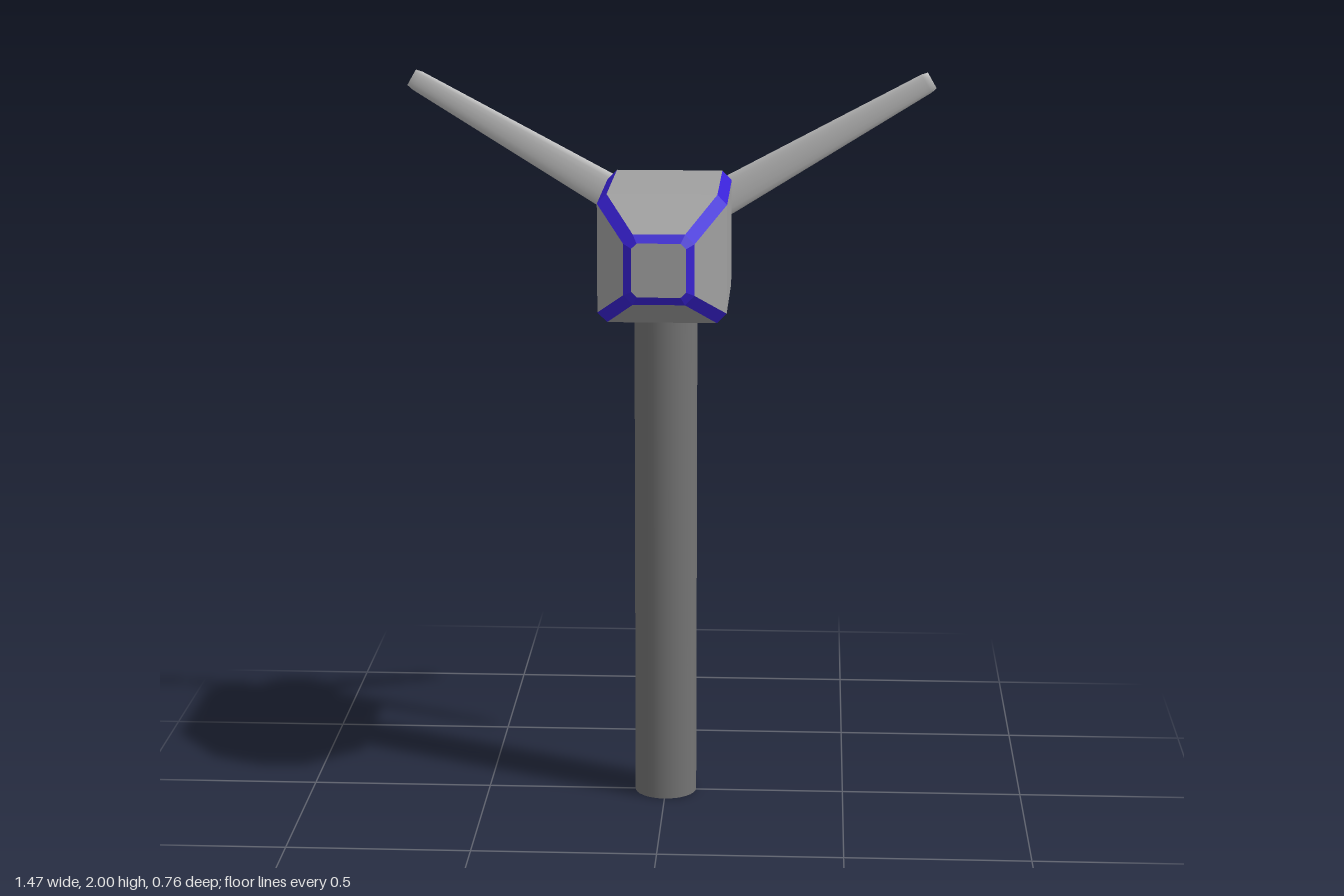
import * as THREE from 'three';

const HUB_Y = 1.563;

const mat = (name, color, side = THREE.FrontSide) => {
  const m = new THREE.MeshStandardMaterial({ color, side });
  m.name = name;
  return m;
};

function geometryFrom(positions) {
  const g = new THREE.BufferGeometry();
  g.setAttribute('position', new THREE.Float32BufferAttribute(positions, 3));
  g.computeVertexNormals();
  return g;
}

// Square section with cut corners, counter-clockwise seen from +z.
// Even edges are the flat sides, odd edges the cut corners.
function cutSquare([z, h, c]) {
  const k = h - c;
  return [[h, -k], [h, k], [k, h], [-k, h], [-h, k], [-h, -k], [-k, -h], [k, -h]].map(([x, y]) => [x, y, z]);
}

// Nacelle housing: panels and coloured edge trim as flat faces
function buildNacelle(panelMat, trimMat) {
  const sections = [
    [-0.228, 0.158, 0.022],
    [-0.212, 0.172, 0.026],
    [0.208, 0.172, 0.026],
    [0.366, 0.093, 0.025],
    [0.379, 0.071, 0.014],
  ].map(cutSquare);
  const panels = [], trim = [];
  for (let s = 0; s < sections.length - 1; s++) {
    for (let i = 0; i < 8; i++) {
      const j = (i + 1) % 8, a = sections[s], b = sections[s + 1];
      const coloured = s === 3 || (s > 0 && i % 2 === 1);
      (coloured ? trim : panels).push(...a[i], ...a[j], ...b[j], ...a[i], ...b[j], ...b[i]);
    }
  }
  const back = sections[0], front = sections[sections.length - 1];
  for (let i = 1; i < 7; i++) {
    panels.push(...front[0], ...front[i], ...front[i + 1]);
    panels.push(...back[0], ...back[i + 1], ...back[i]);
  }
  const group = new THREE.Group();
  group.name = 'nacelle';
  const shell = new THREE.Mesh(geometryFrom(panels), panelMat);
  shell.name = 'nacellePanels';
  const edges = new THREE.Mesh(geometryFrom(trim), trimMat);
  edges.name = 'nacelleTrim';
  group.add(shell, edges);
  return group;
}

// Tapered blade along +y, lens-shaped in section, closed at the tip
function bladeGeometry() {
  const N = 16;
  const sections = [ // distance from hub, half width, half thickness
    [0.03, 0.05, 0.011],
    [0.18, 0.051, 0.011],
    [0.5, 0.04, 0.01],
    [0.815, 0.029, 0.009],
    [0.833, 0.025, 0.004],
  ];
  const pos = [], index = [];
  for (const [y, w, t] of sections) {
    for (let i = 0; i < N; i++) {
      const a = (i / N) * Math.PI * 2;
      pos.push(w * Math.cos(a), y, t * Math.sin(a));
    }
  }
  for (let s = 0; s < sections.length - 1; s++) {
    for (let i = 0; i < N; i++) {
      const a = s * N + i, b = s * N + ((i + 1) % N);
      index.push(a, a + N, b, b, a + N, b + N);
    }
  }
  const last = (sections.length - 1) * N;
  for (let i = 1; i < N - 1; i++) index.push(last, last + i + 1, last + i);
  const g = new THREE.BufferGeometry();
  g.setAttribute('position', new THREE.Float32BufferAttribute(pos, 3));
  g.setIndex(index);
  g.computeVertexNormals();
  return g;
}

export function createModel() {
  const panelGrey = mat('panel grey', 0xa0a0a0);
  const towerGrey = mat('tower grey', 0x747474);
  const bladeGrey = mat('blade light grey', 0xc0c0c0, THREE.DoubleSide);
  const trimBlue = mat('trim blue', 0x3a22d8);

  const model = new THREE.Group();
  model.name = 'windTurbine';

  // Tower
  const tower = new THREE.Mesh(new THREE.CylinderGeometry(0.086, 0.086, 1.42, 32), towerGrey);
  tower.name = 'tower';
  tower.position.set(0, 0.71, -0.005);
  model.add(tower);

  // Nacelle
  const nacelle = buildNacelle(panelGrey, trimBlue);
  nacelle.position.y = HUB_Y;
  model.add(nacelle);

  // Rotor at the back: nose cone and three blades
  const rotor = new THREE.Group();
  rotor.name = 'rotor';
  rotor.position.y = HUB_Y;
  const profile = [[0.115, 0.222], [0.109, 0.255], [0.098, 0.29], [0.08, 0.327], [0.05, 0.36], [0, 0.38]]
    .map(([r, d]) => new THREE.Vector2(r, d));
  const hub = new THREE.Mesh(new THREE.LatheGeometry(profile, 24), panelGrey);
  hub.name = 'hub';
  hub.rotation.x = -Math.PI / 2;
  rotor.add(hub);
  const bladeGeo = bladeGeometry();
  for (let i = 0; i < 3; i++) {
    const blade = new THREE.Mesh(bladeGeo, bladeGrey);
    blade.name = 'blade' + (i + 1);
    blade.position.z = -0.279;
    blade.rotation.z = Math.PI + (i * Math.PI * 2) / 3;
    rotor.add(blade);
  }
  model.add(rotor);
  return model;
}
